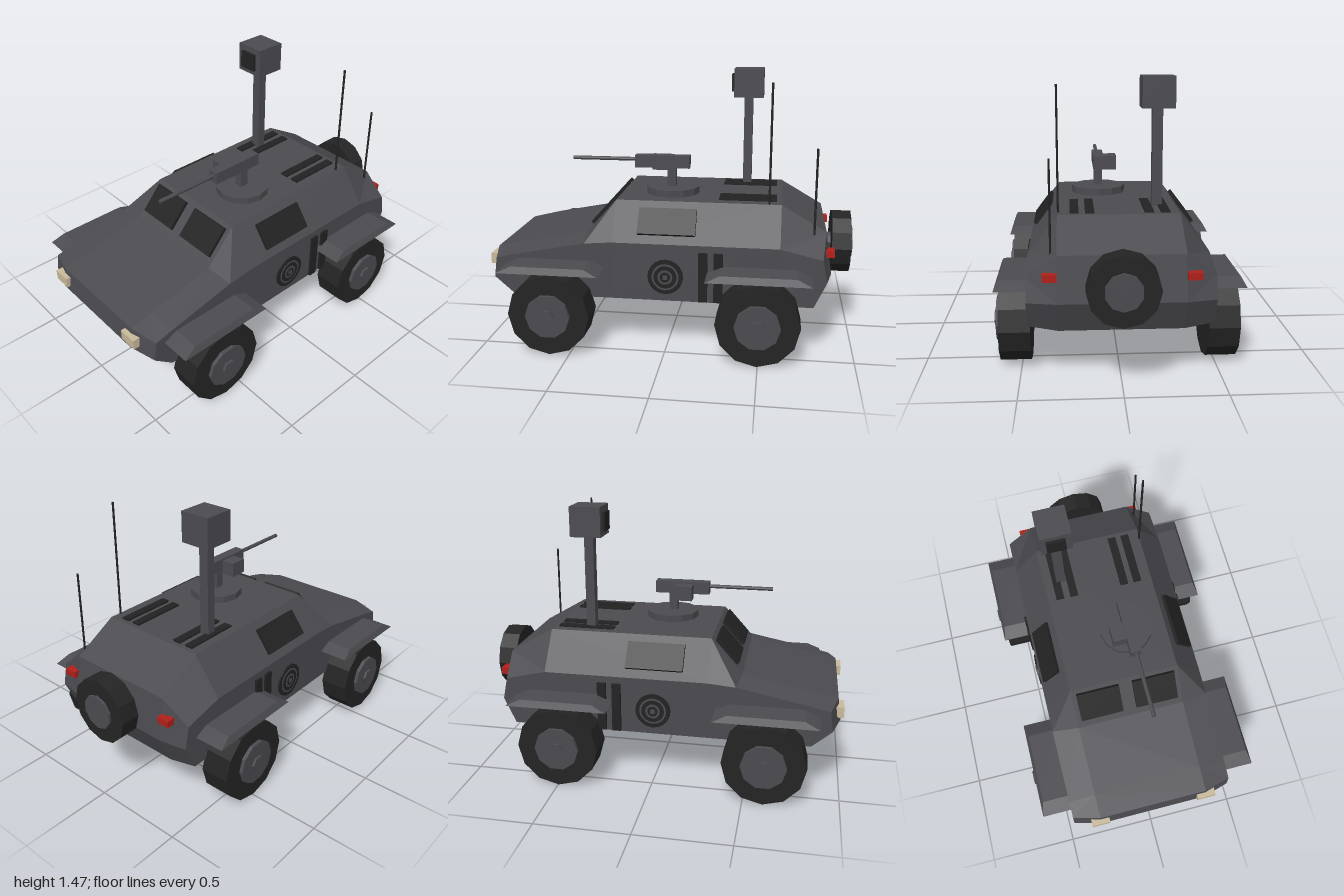
import * as THREE from 'three';

const paint = (name, color) => {
  const m = new THREE.MeshStandardMaterial({ color, flatShading: true });
  m.name = name;
  return m;
};

export function createModel() {
  const model = new THREE.Group();
  model.name = 'armouredCar';
  const armour = paint('armour grey', 0x4b4b50);
  const black = paint('black', 0x222223);
  const rubber = paint('tyre rubber', 0x242424);
  const lampGlass = paint('headlight cream', 0xc8b99a);
  const red = paint('tail light red', 0xb0201a);

  const add = (name, geometry, material, x = 0, y = 0, z = 0, parent = model) => {
    const mesh = new THREE.Mesh(geometry, material);
    mesh.name = name;
    mesh.position.set(x, y, z);
    parent.add(mesh);
    return mesh;
  };
  // box given by its minimum and maximum on each axis
  const box = (name, material, [x0, x1], [y0, y1], [z0, z1]) =>
    add(name, new THREE.BoxGeometry(x1 - x0, y1 - y0, z1 - z0), material,
      (x0 + x1) / 2, (y0 + y1) / 2, (z0 + z1) / 2);
  // cylinder lying along x
  const disc = (r, depth, sides) =>
    new THREE.CylinderGeometry(r, r, depth, sides).rotateZ(-Math.PI / 2);

  add('hull', hullGeometry(), armour);

  // wheels, fenders and side fittings, mirrored
  for (const s of [1, -1]) {
    for (const z of [0.605, -0.495]) {
      const wheel = new THREE.Group();
      wheel.name = 'wheel';
      wheel.position.set(s * 0.53, 0.22, z);
      model.add(wheel);
      add('tyre', disc(0.22, 0.16, 12), rubber, 0, 0, 0, wheel);
      add('hub', disc(0.12, 0.1, 10), armour, s * 0.05, 0, 0, wheel);
      add('hubCap', disc(0.042, 0.1, 6), armour, s * 0.063, 0, 0, wheel);

      const fender = new THREE.BoxGeometry(0.18, 0.035, 0.545);
      const p = fender.attributes.position;
      for (let i = 0; i < p.count; i++) {
        if (p.getY(i) > 0) {
          p.setZ(i, p.getZ(i) * 0.72);
          if (p.getX(i) * s > 0) p.setX(i, s * 0.073);
        }
      }
      add('fender', fender, armour, s * 0.533, 0.467, z);
    }

    // side window lying on the sloped cabin wall
    add('sideWindow', new THREE.BoxGeometry(0.02, 0.15, 0.31), black, s * 0.395, 0.698, 0)
      .rotation.z = s * 0.6435;
    // windscreen half
    add('windscreen', new THREE.BoxGeometry(0.245, 0.175, 0.02), black, s * 0.161, 0.712, 0.374)
      .rotation.x = -0.73;

    for (const z of [-0.2, -0.281])
      add('sideVent', new THREE.BoxGeometry(0.02, 0.27, 0.048), black, s * 0.464, 0.42, z);

    // round hatch made of stacked concentric discs
    [0.095, 0.073, 0.062, 0.04, 0.028].forEach((r, i) =>
      add('sideHatchRing', disc(r, 0.02, 20), i % 2 ? armour : black, s * (0.46 + i * 0.0015), 0.415, 0));
    add('sideHatchCentre', new THREE.BoxGeometry(0.02, 0.026, 0.026), armour, s * 0.4675, 0.415, 0);

    add('headlight', new THREE.BoxGeometry(0.104, 0.058, 0.04), lampGlass, s * 0.311, 0.441, 0.98);
    add('tailLight', new THREE.BoxGeometry(0.07, 0.036, 0.05), red, s * 0.346, 0.55, -0.857);
  }

  // roof grilles
  for (const x of [-0.238, -0.155, 0.146, 0.225])
    add('roofVent', new THREE.BoxGeometry(0.046, 0.02, 0.31), black, x, 0.79, -0.418);

  // spare wheel on the tail
  const upright = (r, depth, sides) => new THREE.CylinderGeometry(r, r, depth, sides).rotateX(Math.PI / 2);
  add('spareTyre', upright(0.177, 0.104, 12), rubber, 0, 0.515, -0.934);
  add('spareHub', upright(0.093, 0.06, 10), armour, 0, 0.515, -0.97);
  add('spareMount', upright(0.05, 0.08, 8), armour, 0, 0.515, -0.865);

  // sensor mast
  box('mast', armour, [-0.237, -0.183], [0.78, 1.31], [-0.42, -0.37]);
  box('sensorHead', armour, [-0.294, -0.125], [1.304, 1.466], [-0.48, -0.312]);
  box('sensorScreen', black, [-0.263, -0.16], [1.334, 1.432], [-0.33, -0.296]);

  // roof gun
  add('turretRing', new THREE.CylinderGeometry(0.15, 0.15, 0.045, 12), armour, 0.083, 0.805, 0.01);
  box('gunPost', armour, [0.06, 0.106], [0.82, 0.935], [-0.008, 0.04]);
  box('gunBody', armour, [0.052, 0.112], [0.93, 0.999], [-0.085, 0.224]);
  box('ammoBox', armour, [-0.023, 0.054], [0.907, 0.988], [0.035, 0.135]);
  add('gunBarrel', upright(0.011, 0.38, 8), armour, 0.083, 0.973, 0.395);

  // whip antennas
  for (const [x, y0, y1, z] of [[0.306, 0.76, 1.43, -0.535], [0.341, 0.62, 1.1, -0.774]])
    add('antenna', new THREE.CylinderGeometry(0.006, 0.006, y1 - y0, 6), black, x, (y0 + y1) / 2, z);

  return model;
}

// Hull lofted front to back; each section lists [x, y, z] for the
// keel edge, lower side, belt and roof edge of the +x half.
function hullGeometry() {
  const I = 0.31, O = 0.46;
  const sections = [
    [[I, 0.38, 0.987], [O, 0.372, 0.945], [O, 0.48, 0.93], [I, 0.5, 0.97]],
    [[I, 0.26, 0.84], [O, 0.28, 0.84], [O, 0.502, 0.84], [I, 0.527, 0.84]],
    [[I, 0.26, 0.46], [O, 0.28, 0.46], [O, 0.58, 0.44], [I, 0.6, 0.46]],
    [[I, 0.26, 0.29], [O, 0.28, 0.29], [O, 0.592, 0.29], [I, 0.79, 0.29]],
    [[I, 0.26, -0.6], [O, 0.28, -0.6], [O, 0.592, -0.6], [I, 0.79, -0.6]],
    [[I, 0.26, -0.8], [O, 0.28, -0.78], [O, 0.54, -0.82], [I, 0.65, -0.84]],
    [[I, 0.42, -0.873], [O, 0.42, -0.845], [O, 0.42, -0.845], [I, 0.42, -0.873]],
  ].map(h => [...h, ...[...h].reverse().map(([x, y, z]) => [-x, y, z])]
    .map(c => new THREE.Vector3(...c)));
  const points = [];
  const tri = (a, b, c) => {
    const area = b.clone().sub(a).cross(c.clone().sub(a)).length();
    if (area > 1e-7) for (const v of [a, b, c]) points.push(v.x, v.y, v.z);
  };
  for (let k = 0; k < sections.length - 1; k++) {
    const a = sections[k], b = sections[k + 1];
    for (let i = 0; i < 8; i++) {
      const j = (i + 1) % 8;
      if (i < 4) {
        tri(a[i], b[i], b[j]);
        tri(a[i], b[j], a[j]);
      } else {
        tri(a[i], b[i], a[j]);
        tri(b[i], b[j], a[j]);
      }
    }
  }
  // nose plates
  const n = sections[0];
  for (const [a, b, c, d] of [[0, 1, 2, 3], [7, 0, 3, 4], [6, 7, 4, 5]]) {
    tri(n[a], n[b], n[c]);
    tri(n[a], n[c], n[d]);
  }
  const g = new THREE.BufferGeometry();
  g.setAttribute('position', new THREE.Float32BufferAttribute(points, 3));
  g.computeVertexNormals();
  return g;
}
